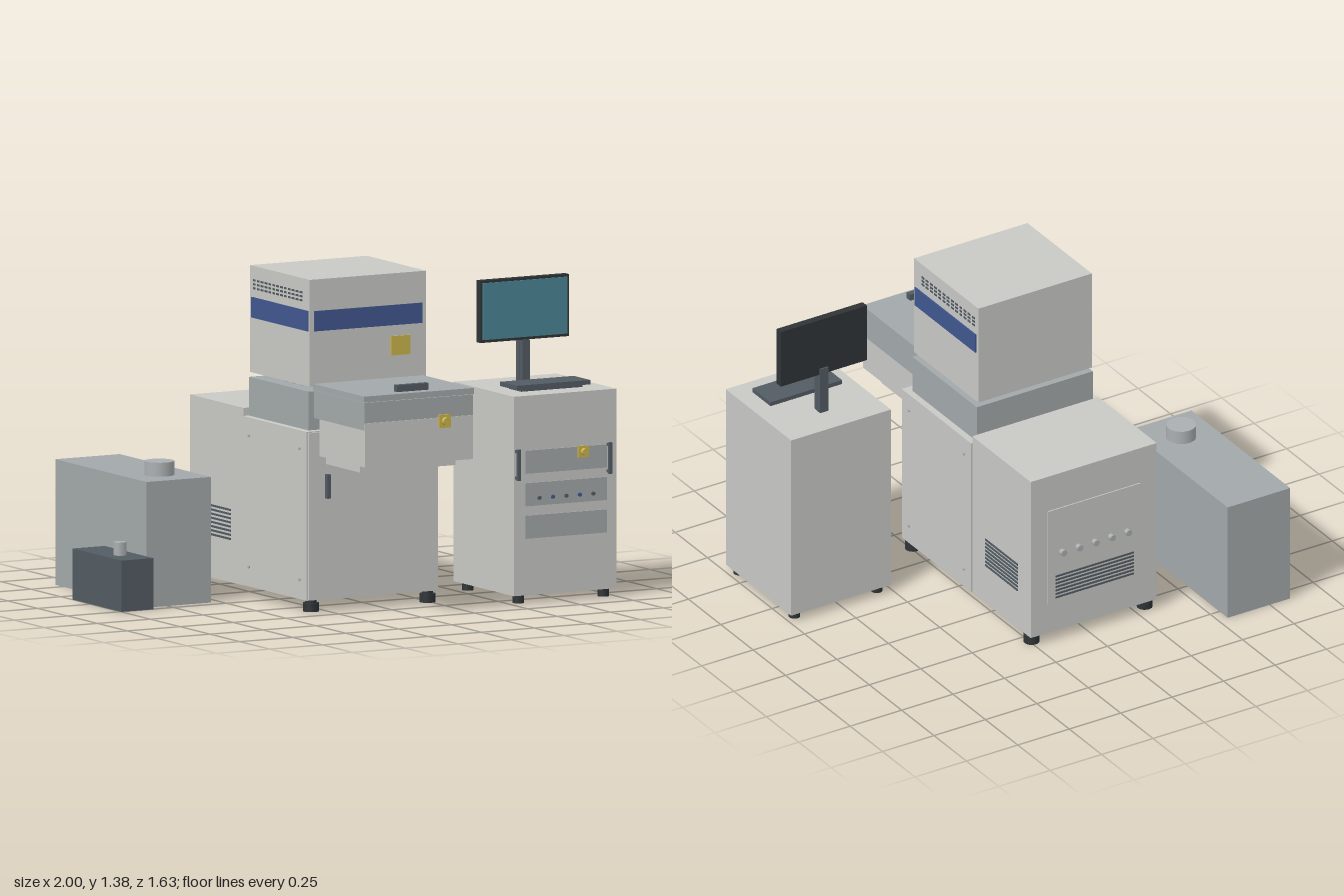
import * as THREE from 'three';

const mat = (name, color) => {
  const m = new THREE.MeshStandardMaterial({ color });
  m.name = name;
  return m;
};

export function createModel() {
  const root = new THREE.Group();
  root.name = 'machineWorkstation';
  const body = mat('lightGreyPaint', 0xc8c8c5);
  const grey = mat('midGreyPaint', 0xa2a8aa);
  const slate = mat('slate', 0x525b63);
  const black = mat('blackRubber', 0x2f3436);
  const blue = mat('bluePaint', 0x40578f);
  const yellow = mat('yellow', 0xcbb44c);
  const teal = mat('screenTeal', 0x4a8494);
  const silver = mat('silver', 0xabafb1);

  const group = (name) => {
    const g = new THREE.Group();
    g.name = name;
    root.add(g);
    return g;
  };
  // box given by its limits on each axis
  const box = (g, name, m, x0, x1, y0, y1, z0, z1) => {
    const mesh = new THREE.Mesh(new THREE.BoxGeometry(x1 - x0, y1 - y0, z1 - z0), m);
    mesh.position.set((x0 + x1) / 2, (y0 + y1) / 2, (z0 + z1) / 2);
    mesh.name = name;
    g.add(mesh);
    return mesh;
  };
  // cylinder centred at a point along the given axis
  const cyl = (g, name, m, r, len, x, y, z, axis = 'y', sides = 24) => {
    const mesh = new THREE.Mesh(new THREE.CylinderGeometry(r, r, len, sides), m);
    mesh.position.set(x, y, z);
    if (axis === 'z') mesh.rotation.x = Math.PI / 2;
    if (axis === 'x') mesh.rotation.z = Math.PI / 2;
    mesh.name = name;
    g.add(mesh);
    return mesh;
  };
  // emergency stop: square plate with a round button
  const stopButton = (g, x, y, z, s) => {
    box(g, 'stopPlate', yellow, x - s / 2, x + s / 2, y - s / 2, y + s / 2, z, z + 0.008);
    cyl(g, 'stopButton', yellow, s * 0.3, 0.02, x, y, z + 0.016, 'z');
  };

  // main cabinet: taller rear block, lower and slightly wider front block
  const cabinet = group('mainCabinet');
  const cx = -0.033;
  box(cabinet, 'rearCabinet', body, cx - 0.306, cx + 0.306, 0.045, 0.783, -0.592, -0.14);
  box(cabinet, 'frontCabinet', body, cx - 0.311, cx + 0.311, 0.048, 0.75, -0.14, 0.395);
  box(cabinet, 'frontDoor', body, cx - 0.305, cx + 0.305, 0.053, 0.745, 0.395, 0.405);
  box(cabinet, 'doorHandle', slate, -0.262, -0.246, 0.47, 0.57, 0.405, 0.425);
  for (const x of [cx - 0.276, cx + 0.274])
    for (const z of [-0.547, 0.37]) {
      cyl(cabinet, 'foot', black, 0.033, 0.036, x, 0.018, z);
      cyl(cabinet, 'footStem', black, 0.022, 0.014, x, 0.041, z);
    }
  for (const s of [-1, 1]) {
    for (let i = 0; i < 8; i++) {
      const y = 0.225 + i * 0.0172, x = cx + s * 0.307;
      box(cabinet, 'sideLouver', slate, x - 0.003, x + 0.003, y - 0.004, y + 0.004, -0.495, -0.245);
    }
    for (const y of [0.13, 0.675])
      for (const z of [-0.085, 0.34])
        cyl(cabinet, 'panelBolt', silver, 0.006, 0.008, cx + s * 0.312, y, z, 'x', 12);
  }
  // rear service panel, sockets and louvers
  box(cabinet, 'rearPanel', body, cx - 0.225, cx + 0.225, 0.18, 0.62, -0.597, -0.592);
  for (let i = 0; i < 5; i++)
    cyl(cabinet, 'rearSocket', silver, 0.014, 0.022, cx - 0.158 + i * 0.079, 0.413, -0.606, 'z', 16);
  for (let i = 0; i < 7; i++) {
    const y = 0.205 + i * 0.0165;
    box(cabinet, 'rearLouver', slate, cx - 0.19, cx + 0.19, y - 0.004, y + 0.004, -0.6, -0.596);
  }

  // neck and processing head
  const head = group('processingHead');
  const x0 = -0.31, x1 = 0.241;
  box(head, 'neck', grey, -0.315, 0.249, 0.75, 0.911, -0.137, 0.36);
  for (const x of [-0.24, 0.17])
    for (const z of [0.05, 0.115, 0.18, 0.345])
      box(head, 'spacer', silver, x - 0.012, x + 0.012, 0.911, 0.932, z - 0.008, z + 0.008);
  box(head, 'headHousing', body, x0, x1, 0.931, 1.375, -0.137, 0.36);
  box(head, 'frontBand', blue, -0.29, 0.221, 1.16, 1.244, 0.36, 0.365);
  box(head, 'warningPlate', yellow, 0.072, 0.163, 1.035, 1.115, 0.36, 0.367);
  for (const x of [x0, x1]) {
    box(head, 'sideBand', blue, x - 0.005, x + 0.005, 1.16, 1.245, -0.12, 0.35);
    for (let r = 0; r < 3; r++)
      for (let i = 0; i < 13; i++) {
        const z = -0.1 + i * 0.0325, y = 1.283 + r * 0.0165;
        box(head, 'ventSlot', slate, x - 0.003, x + 0.003, y - 0.004, y + 0.004, z - 0.009, z + 0.009);
      }
  }

  // projecting loading stage with lid
  const stage = group('loadingStage');
  box(stage, 'stageUpper', grey, -0.29, 0.222, 0.8, 0.915, 0.36, 0.785);
  box(stage, 'stageLid', grey, -0.293, 0.225, 0.917, 0.942, 0.36, 0.788);
  box(stage, 'stageLower', body, -0.289, 0.221, 0.647, 0.83, 0.405, 0.788);
  box(stage, 'stageBracket', body, -0.258, 0.192, 0.612, 0.647, 0.405, 0.692);
  box(stage, 'lidHandle', slate, -0.11, 0.038, 0.942, 0.97, 0.714, 0.74);
  stopButton(stage, 0.085, 0.815, 0.788, 0.055);

  // control console
  const con = group('controlConsole');
  box(con, 'consoleBody', body, 0.513, 0.998, 0.034, 0.863, 0.107, 0.612);
  for (const x of [0.555, 0.955])
    for (const z of [0.15, 0.575]) cyl(con, 'consoleFoot', black, 0.024, 0.034, x, 0.017, z);
  for (const y of [0.27, 0.405, 0.54])
    box(con, 'frontPanel', grey, 0.563, 0.948, y, y + 0.096, 0.612, 0.62);
  for (const x of [0.524, 0.957]) {
    box(con, 'consoleHandle', slate, x - 0.007, x + 0.007, 0.515, 0.645, 0.626, 0.638);
    for (const y of [0.525, 0.635])
      box(con, 'handleMount', slate, x - 0.006, x + 0.006, y - 0.006, y + 0.006, 0.612, 0.626);
  }
  for (let i = 0; i < 5; i++)
    cyl(con, 'consoleKey', i % 2 ? blue : slate, 0.008, 0.01, 0.627 + i * 0.0635, 0.437, 0.624, 'z', 12);
  stopButton(con, 0.834, 0.615, 0.62, 0.048);

  // monitor and keyboard
  box(con, 'monitorColumn', slate, 0.736, 0.776, 0.863, 1.07, 0.236, 0.264);
  box(con, 'columnFront', slate, 0.738, 0.774, 0.863, 1.042, 0.264, 0.284);
  box(con, 'monitorCase', black, 0.545, 0.963, 1.042, 1.3, 0.242, 0.275);
  box(con, 'monitorScreen', teal, 0.555, 0.953, 1.054, 1.29, 0.275, 0.281);
  box(con, 'keyboard', slate, 0.58, 0.928, 0.874, 0.892, 0.378, 0.518);
  box(con, 'keyboardBase', slate, 0.61, 0.9, 0.863, 0.874, 0.4, 0.5);

  // cooling unit and small pump box
  const cooler = group('coolingUnit');
  box(cooler, 'coolerTank', grey, -0.849, -0.545, 0, 0.522, -0.813, -0.05);
  cyl(cooler, 'tankCap', silver, 0.062, 0.058, -0.697, 0.551, -0.212, 'y', 32);
  box(cooler, 'pumpBox', slate, -1, -0.849, 0, 0.213, -0.4, 0.008);
  cyl(cooler, 'pumpFitting', silver, 0.028, 0.055, -0.924, 0.24, -0.14, 'y', 8);

  return root;
}
